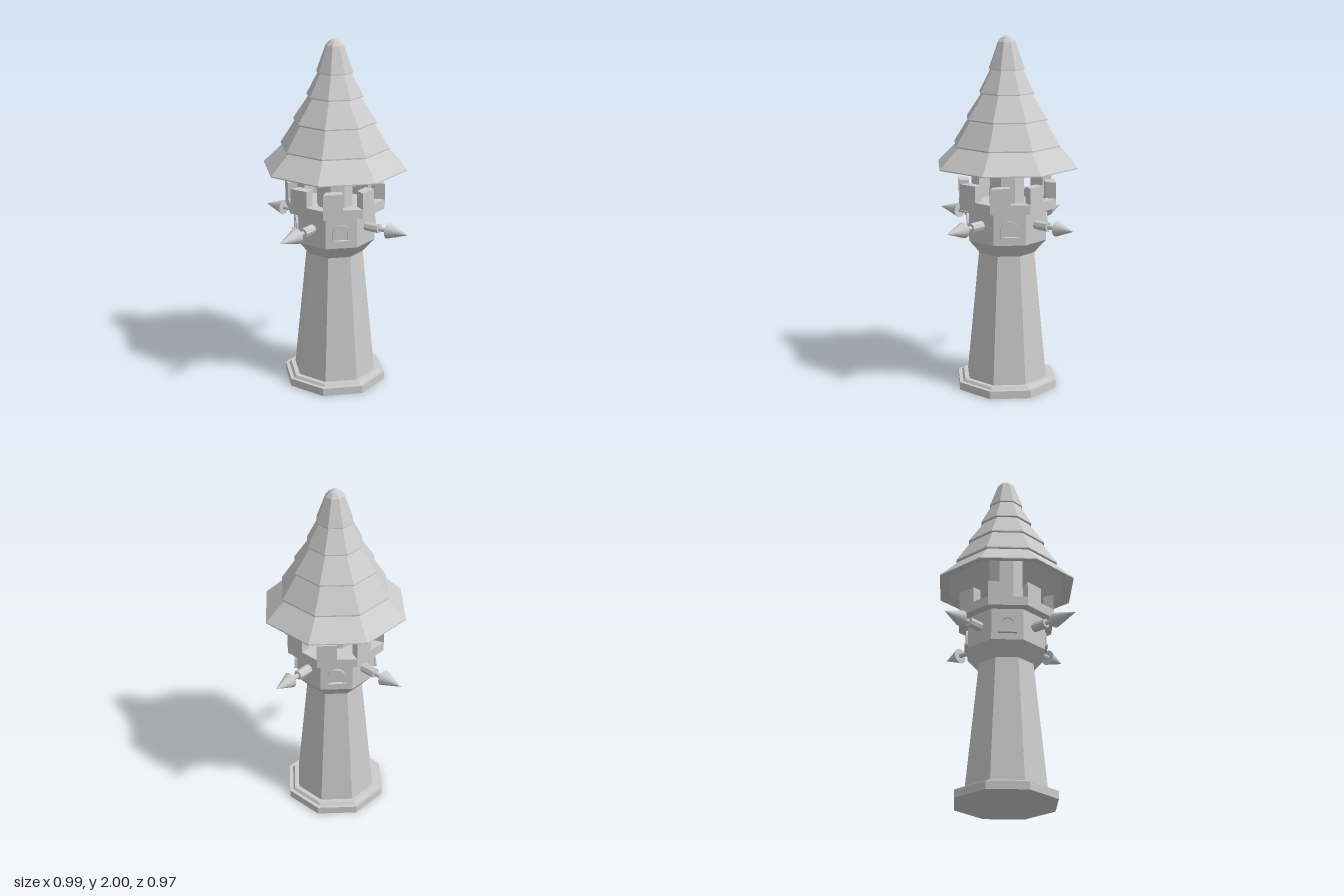
import * as THREE from 'three';

const material = new THREE.MeshStandardMaterial({ color: 0xcccccc, flatShading: true });
const smooth = new THREE.MeshStandardMaterial({ color: 0xcccccc });
const CORNER = 1 / Math.cos(Math.PI / 8); // flat-to-centre distance -> corner radius

function add(parent, name, geometry, mat = material) {
  const mesh = new THREE.Mesh(geometry, mat);
  mesh.name = name;
  parent.add(mesh);
  return mesh;
}

// Eight-sided solid with flats facing the axes; profile is [flat distance, y]
function octagon(profile) {
  const points = profile.map(([r, y]) => new THREE.Vector2(r * CORNER, y));
  return new THREE.LatheGeometry(points, 8, Math.PI / 8);
}

// Arched outline standing on y = 0
function archPath(path, halfWidth, bottom, spring) {
  path.moveTo(-halfWidth, bottom);
  path.lineTo(halfWidth, bottom);
  path.lineTo(halfWidth, spring);
  path.absarc(0, spring, halfWidth, 0, Math.PI, false);
  path.lineTo(-halfWidth, bottom);
  return path;
}

function makeWindow() {
  const group = new THREE.Group();
  group.name = 'archedWindow';
  const frame = archPath(new THREE.Shape(), 0.049, 0, 0.053);
  frame.holes.push(archPath(new THREE.Path(), 0.035, 0.012, 0.053));
  add(group, 'windowFrame', new THREE.ExtrudeGeometry(frame, { depth: 0.018, bevelEnabled: false, curveSegments: 8 }));
  add(group, 'windowSill', new THREE.BoxGeometry(0.104, 0.012, 0.026)).position.set(0, 0.006, 0.012);
  group.position.set(0, 0.905, 0.208);
  return group;
}

// Spear pointing along +z, reaching out to the given tip distance
function makeSpear(tip) {
  const group = new THREE.Group();
  group.name = 'spear';
  const rod = (name, r0, r1, from, to, sides, mat) => {
    const g = new THREE.CylinderGeometry(r1, r0, to - from, sides);
    g.rotateX(Math.PI / 2);
    g.translate(0, 0, (from + to) / 2);
    add(group, name, g, mat);
  };
  rod('spearSocket', 0.027, 0.027, 0.2, 0.302, 8, material);
  rod('spearShaft', 0.013, 0.013, 0.29, 0.37, 8, material);
  rod('spearHead', 0.044, 0, 0.36, tip, 16, smooth);
  group.position.y = 0.97;
  return group;
}

export function createModel() {
  const model = new THREE.Group();
  model.name = 'tower';
  const tower = new THREE.Group();
  tower.name = 'towerBody';
  tower.position.x = 0.0175;
  model.add(tower);

  // Stepped plinth
  add(tower, 'plinth', octagon([[0, 0], [0.274, 0], [0.274, 0.045], [0.254, 0.045], [0.244, 0.06], [0, 0.06]]));

  // Tapered shaft flaring into the guard room
  add(tower, 'shaft', octagon([[0.22, 0.055], [0.151, 0.79], [0.214, 0.868], [0.214, 1.055]]));

  // Parapet wall with walkway inside
  add(tower, 'parapet', octagon([[0.2, 1.052], [0.265, 1.052], [0.265, 1.105], [0.21, 1.105], [0.21, 1.06], [0, 1.06]]));

  // One merlon on the left half of each parapet face
  const plan = new THREE.Shape([[-0.11, -0.265], [0, -0.265], [0, -0.21], [-0.087, -0.21]]
    .map(([x, y]) => new THREE.Vector2(x, y)));
  const merlon = new THREE.ExtrudeGeometry(plan, { depth: 0.092, bevelEnabled: false });
  merlon.rotateX(-Math.PI / 2);
  merlon.translate(0, 1.104, 0);
  for (let i = 0; i < 8; i++) add(tower, 'merlon', merlon).rotation.y = i * Math.PI / 4;

  // Windows on the diagonal faces, spears on the straight ones
  const tips = [0.487, 0.4725, 0.487, 0.5125];
  for (let i = 0; i < 4; i++) {
    const spear = makeSpear(tips[i]);
    spear.rotation.y = i * Math.PI / 2;
    tower.add(spear);

    const pivot = new THREE.Group();
    pivot.name = 'windowSide';
    pivot.rotation.y = (i + 0.5) * Math.PI / 2;
    pivot.add(makeWindow());
    tower.add(pivot);
  }

  // Column carrying the roof
  add(tower, 'roofColumn', octagon([[0.095, 1.055], [0.095, 1.6]]));

  // Tiered roof: hollow underside, rim, then overlapping tiers
  add(tower, 'roof', octagon([
    [0.09, 1.5], [0.32, 1.295], [0.377, 1.28],
    [0.377, 1.286], [0.272, 1.397],
    [0.286, 1.397], [0.286, 1.404], [0.205, 1.541],
    [0.217, 1.541], [0.217, 1.548], [0.133, 1.684],
    [0.146, 1.684], [0.146, 1.69], [0.086, 1.815],
    [0.095, 1.815], [0.095, 1.82], [0.047, 1.963],
    [0.028, 1.986], [0, 2],
  ]));

  return model;
}
